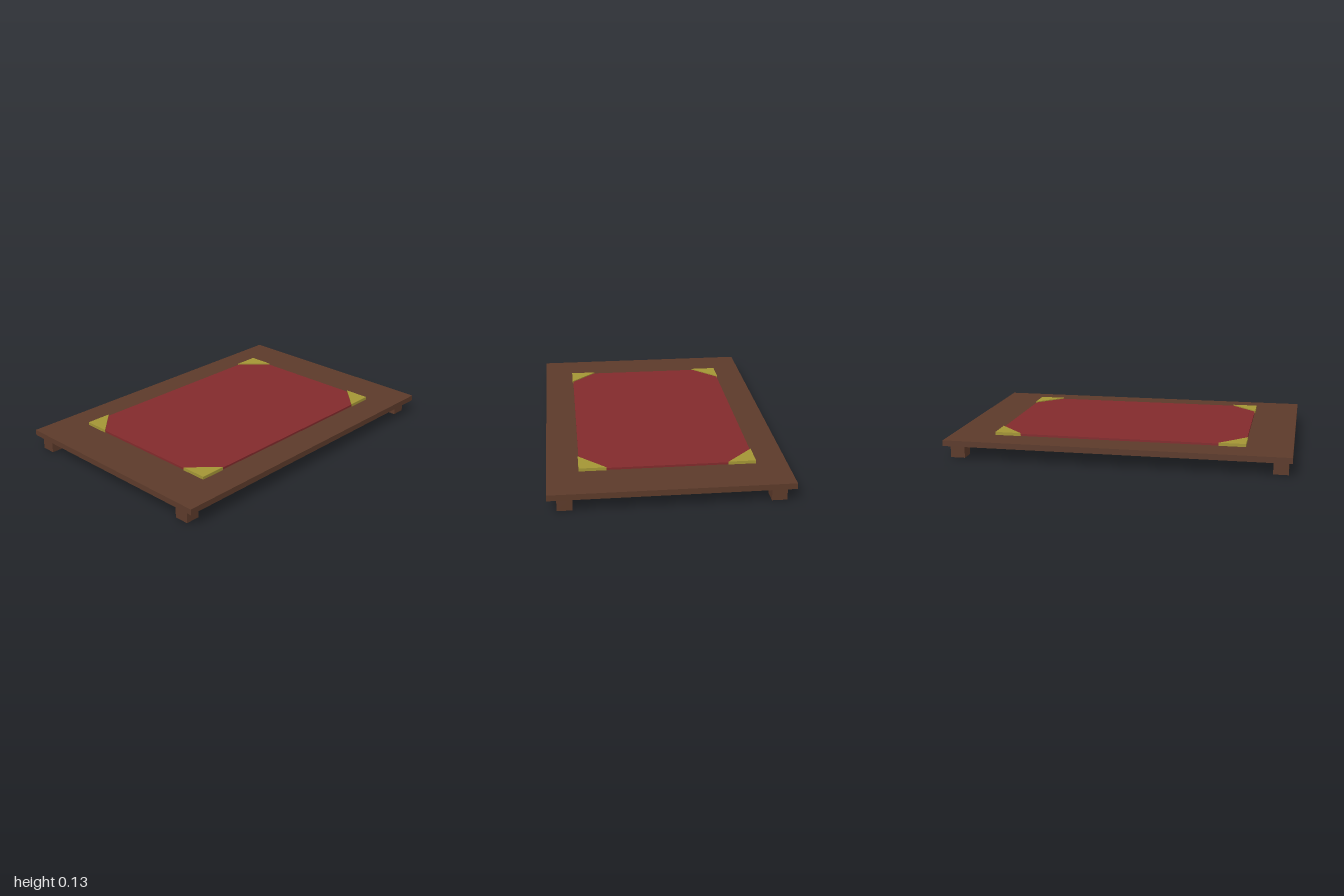
import * as THREE from 'three';

const material = (color) => new THREE.MeshStandardMaterial({ color });

export function createModel() {
  const model = new THREE.Group();
  const wood = material(0x5c3a2a);
  const leather = material(0x822a2c);
  const brass = material(0xa39535);

  const add = (name, geometry, mat, x, y, z) => {
    const mesh = new THREE.Mesh(geometry, mat);
    mesh.name = name;
    mesh.position.set(x, y, z);
    model.add(mesh);
    return mesh;
  };

  // Flat wooden board
  add('board', new THREE.BoxGeometry(1.344, 0.034, 2), wood, 0, 0.095, 0);

  // Thin red writing pad
  add('pad', new THREE.BoxGeometry(0.982, 0.012, 1.466), leather, -0.001, 0.118, -0.002);

  // Triangular corner plate, right angle at the origin, extending to +x and +z
  const triangle = new THREE.Shape([
    new THREE.Vector2(0, 0),
    new THREE.Vector2(0.155, 0),
    new THREE.Vector2(0, -0.155),
  ]);
  const corner = new THREE.ExtrudeGeometry(triangle, { depth: 0.018, bevelEnabled: false });
  corner.rotateX(-Math.PI / 2);

  const foot = new THREE.BoxGeometry(0.085, 0.08, 0.085);

  // A corner plate and a foot at each corner; each plate turns a quarter further
  const corners = [[-1, -1], [-1, 1], [1, 1], [1, -1]];
  corners.forEach(([sx, sz], i) => {
    add('padCorner', corner, brass, sx * 0.495 - 0.001, 0.112, sz * 0.737 - 0.002)
      .rotation.y = i * Math.PI / 2;
    add('foot', foot, wood, sx * 0.581 - 0.003, 0.04, sz * 0.933 + 0.005);
  });

  return model;
}
